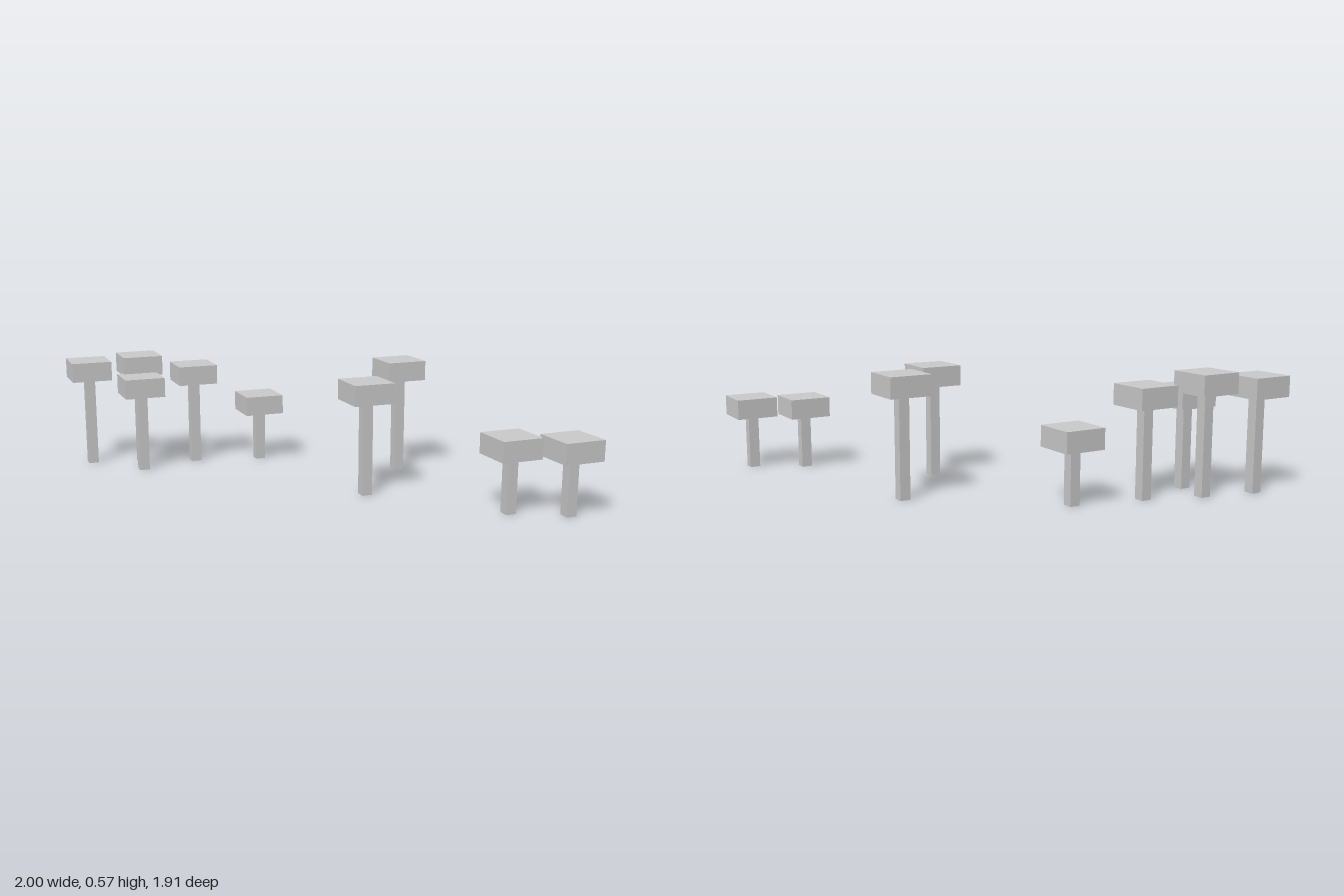
import * as THREE from 'three';

const CAP_WIDTH = 0.2, CAP_HEIGHT = 0.097, POST_WIDTH = 0.05;

// x, z and top height of each post
const POSTS = [
  [-0.9, -0.857, 0.547],
  [-0.648, -0.795, 0.572],
  [-0.68, -0.62, 0.488],
  [-0.382, -0.7, 0.522],
  [-0.048, -0.62, 0.353],
  [0.196, 0.219, 0.547],
  [0.544, -0.148, 0.572],
  [0.67, 0.727, 0.36],
  [0.9, 0.856, 0.36],
];

export function createModel() {
  const model = new THREE.Group();
  model.name = 'cappedPosts';
  const material = new THREE.MeshStandardMaterial({ color: 0xcccccc, flatShading: true });

  // Box standing on the given base height
  const block = (name, width, height, base) => {
    const mesh = new THREE.Mesh(new THREE.BoxGeometry(width, height, width), material);
    mesh.name = name;
    mesh.position.y = base + height / 2;
    return mesh;
  };

  // Each one is a slim square post under a wide square cap
  POSTS.forEach(([x, z, top], i) => {
    const post = new THREE.Group();
    post.name = `cappedPost${i + 1}`;
    const stemHeight = top - CAP_HEIGHT;
    post.add(block('stem', POST_WIDTH, stemHeight, 0));
    post.add(block('cap', CAP_WIDTH, CAP_HEIGHT, stemHeight));
    post.position.set(x, 0, z);
    model.add(post);
  });

  return model;
}
